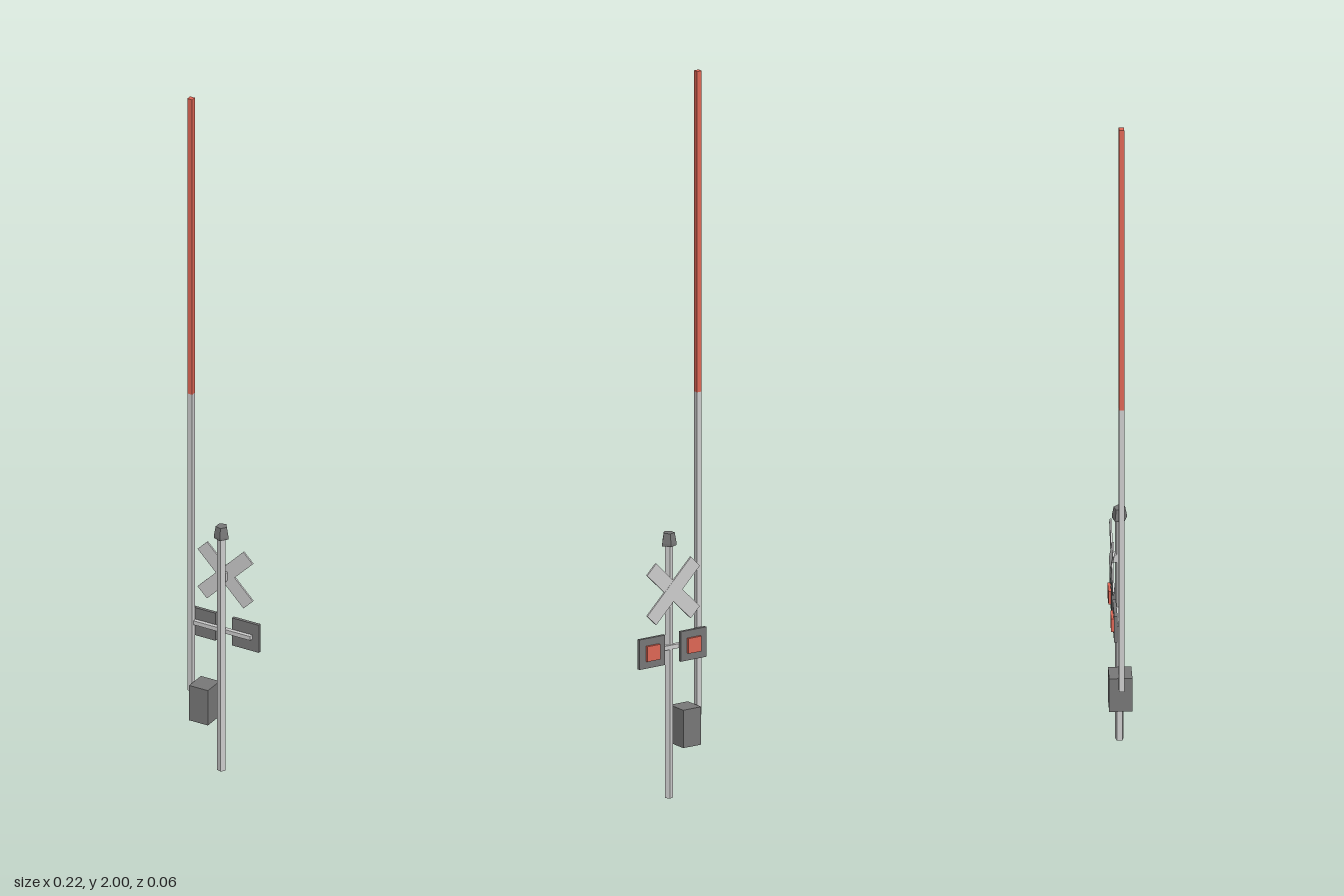
import * as THREE from 'three';

const grey = new THREE.MeshStandardMaterial({ color: 0xcccccc, flatShading: true });
const dark = new THREE.MeshStandardMaterial({ color: 0x777777, flatShading: true });
const red = new THREE.MeshStandardMaterial({ color: 0xdd6655, flatShading: true });

export function createModel() {
  const model = new THREE.Group();

  const add = (name, geometry, material, x, y, z) => {
    const mesh = new THREE.Mesh(geometry, material);
    mesh.name = name;
    mesh.position.set(x, y, z);
    model.add(mesh);
    return mesh;
  };
  // box given by its min and max on each axis
  const box = (name, material, [x0, x1], [y0, y1], [z0, z1]) =>
    add(name, new THREE.BoxGeometry(x1 - x0, y1 - y0, z1 - z0), material,
      (x0 + x1) / 2, (y0 + y1) / 2, (z0 + z1) / 2);
  // five-sided post section with one corner towards +x
  const post = (name, material, rTop, rBottom, y0, y1) =>
    add(name, new THREE.CylinderGeometry(rTop, rBottom, y1 - y0, 5).rotateY(Math.PI / 2),
      material, 0, (y0 + y1) / 2, 0);

  // post and its bell cap
  post('pole', grey, 0.012, 0.012, 0, 0.71);
  post('bellRim', dark, 0.021, 0.021, 0.7, 0.707);
  post('bellCap', dark, 0.016, 0.021, 0.707, 0.735);

  // crossed boards on the back of the post
  for (const side of [-1, 1]) {
    const board = add(side < 0 ? 'crossBoardRight' : 'crossBoardLeft',
      new THREE.BoxGeometry(0.2, 0.041, 0.005), grey, 0, 0.578, -0.0205 + side * 0.0003);
    board.rotation.z = side * Math.PI / 4;
  }
  box('crossBracket', grey, [-0.008, 0.008], [0.565, 0.59], [-0.019, 0]);

  // signal arm with a backing plate and a lamp on each side
  box('signalArm', grey, [-0.088, 0.088], [0.413, 0.425], [-0.012, 0]);
  for (const side of [-1, 1]) {
    const label = side < 0 ? 'Right' : 'Left';
    add('signalPlate' + label, new THREE.BoxGeometry(0.083, 0.083, 0.009), dark,
      side * 0.067, 0.418, -0.0155);
    add('signalLamp' + label, new THREE.BoxGeometry(0.042, 0.042, 0.008), red,
      side * 0.067, 0.418, -0.023);
  }

  // gate motor housing
  box('motorHousing', dark, [-0.083, -0.025], [0.14, 0.245], [-0.032, 0.03]);

  // raised gate arm, red on its outer half
  box('gateArm', grey, [-0.102, -0.087], [0.215, 1.11], [-0.007, 0.007]);
  box('gateArmTip', red, [-0.102, -0.087], [1.11, 2], [-0.007, 0.007]);

  return model;
}
